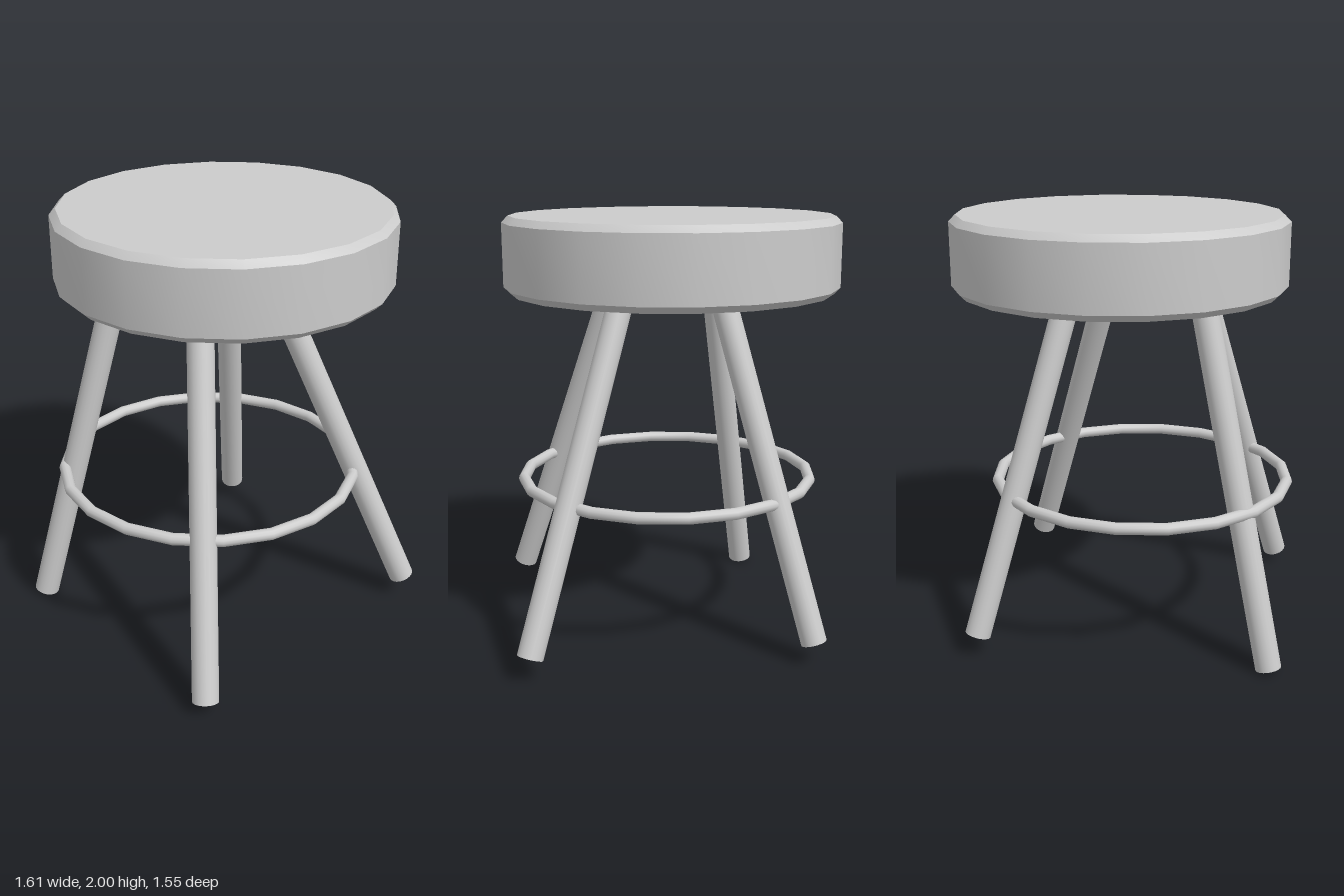
import * as THREE from 'three';
import { toCreasedNormals } from 'three/addons/utils/BufferGeometryUtils.js';

const material = new THREE.MeshStandardMaterial({ color: 0xcccccc });
const SEAT_BOTTOM = 1.65;
const LEG_RADIUS = 0.06;

function makePart(name, geometry) {
  const mesh = new THREE.Mesh(geometry, material);
  mesh.name = name;
  return mesh;
}

// Thick round cushion with a small chamfer on both rims
function makeSeat() {
  const radius = 0.775, bevel = 0.03, height = 0.35;
  const profile = [
    [0, 0], [radius - bevel, 0], [radius, bevel],
    [radius, height - bevel], [radius - bevel, height], [0, height],
  ].map(([x, y]) => new THREE.Vector2(x, y));
  const seat = makePart('seat', toCreasedNormals(new THREE.LatheGeometry(profile, 20), 0.5));
  seat.position.set(0.025, SEAT_BOTTOM, 0);
  return seat;
}

// Straight round leg from the foot centre up into the seat
function makeLeg(name, foot, top) {
  const start = new THREE.Vector3(...foot);
  const direction = new THREE.Vector3(top[0], SEAT_BOTTOM, top[1]).sub(start);
  direction.multiplyScalar(1.03); // sink the end into the cushion
  const leg = makePart(name, new THREE.CylinderGeometry(LEG_RADIUS, LEG_RADIUS, direction.length(), 20));
  leg.position.copy(start).addScaledVector(direction, 0.5);
  leg.quaternion.setFromUnitVectors(new THREE.Vector3(0, 1, 0), direction.normalize());
  return leg;
}

// Thin ring running through all four legs
function makeFootRing() {
  const ring = makePart('footRing', new THREE.TorusGeometry(0.7, 0.027, 12, 20));
  ring.rotation.x = Math.PI / 2;
  ring.position.set(-0.08, 0.737, 0.01);
  return ring;
}

export function createModel() {
  const stool = new THREE.Group();
  stool.name = 'stool';
  stool.add(makeSeat(), makeFootRing());

  // Unevenly splayed legs: foot (x, y, z) and where each meets the seat (x, z)
  const legs = [
    ['backRightLeg', [-0.745, 0.017, -0.5], [-0.39, -0.265]],
    ['frontRightLeg', [-0.72, 0.07, 0.72], [-0.325, 0.24]],
    ['frontLeftLeg', [0.6, 0.115, 0.71], [0.12, 0.24]],
    ['backLeftLeg', [0.6, 0.105, -0.575], [0.225, -0.2]],
  ];
  for (const [name, foot, top] of legs) stool.add(makeLeg(name, foot, top));

  return stool;
}
